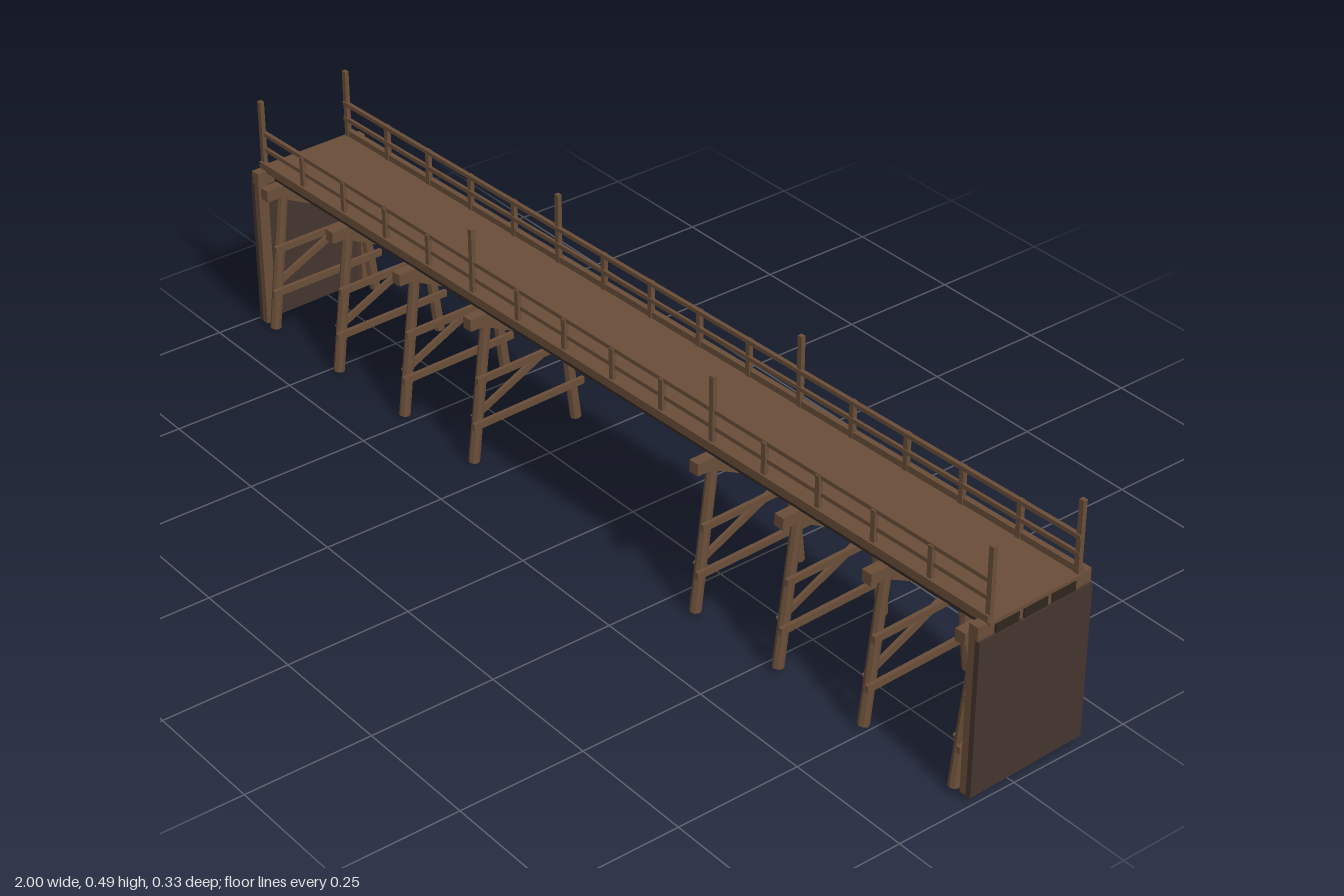
import * as THREE from 'three';

const wood = new THREE.MeshStandardMaterial({ color: 0x6a4e39, flatShading: true });
wood.name = 'brown timber';
const darkWood = new THREE.MeshStandardMaterial({ color: 0x44342d });
darkWood.name = 'dark planking';
const beamWood = new THREE.MeshStandardMaterial({ color: 0x30261f });
beamWood.name = 'dark stringer timber';

function box(parent, name, size, pos, mat = wood) {
  const m = new THREE.Mesh(new THREE.BoxGeometry(...size), mat);
  m.name = name;
  m.position.set(...pos);
  parent.add(m);
  return m;
}

// Align a mesh's y axis with the segment a-b
function place(mesh, a, b) {
  mesh.position.copy(a).add(b).multiplyScalar(0.5);
  mesh.quaternion.setFromUnitVectors(new THREE.Vector3(0, 1, 0), b.clone().sub(a).normalize());
}

function pile(parent, a, b, r) {
  const m = new THREE.Mesh(new THREE.CylinderGeometry(r * 0.95, r, a.distanceTo(b), 8), wood);
  m.name = 'pile';
  place(m, a, b);
  parent.add(m);
}

function brace(parent, a, b) {
  const m = new THREE.Mesh(new THREE.BoxGeometry(0.007, a.distanceTo(b), 0.014), wood);
  m.name = 'diagonalBrace';
  place(m, a, b);
  parent.add(m);
}

// Trestle frame: two leaning piles, cap, girts and zigzag bracing
function makeBent(x) {
  const g = new THREE.Group();
  g.name = 'trestleBent';
  g.position.x = x;
  const v = (px, y, z) => new THREE.Vector3(px, y, z);
  for (const s of [-1, 1]) pile(g, v(0, 0.006, s * 0.122), v(0, 0.3, s * 0.085), 0.011);
  box(g, 'cap', [0.022, 0.024, 0.256], [0, 0.305, 0]);
  box(g, 'upperGirt', [0.008, 0.014, 0.24], [0.013, 0.185, 0]);
  box(g, 'lowerGirt', [0.008, 0.014, 0.262], [0.013, 0.09, 0]);
  brace(g, v(-0.013, 0.09, 0.112), v(-0.013, 0.185, -0.1));
  brace(g, v(-0.013, 0.19, -0.1), v(-0.013, 0.288, 0.088));
  return g;
}

// End wall: planked face, upright posts and a cap beam
function makeAbutment(s) {
  const g = new THREE.Group();
  g.name = 'abutment';
  box(g, 'wallPlanking', [0.01, 0.308, 0.256], [s * 0.989, 0.162, 0], darkWood);
  for (const z of [-0.117, 0.117]) box(g, 'wallPost', [0.014, 0.308, 0.022], [s * 0.977, 0.162, z]);
  box(g, 'wallCap', [0.02, 0.028, 0.256], [s * 0.979, 0.329, 0]);
  return g;
}

// Railing for one edge: tall posts at every fifth bay, short posts between
function makeRailing(s) {
  const g = new THREE.Group();
  g.name = 'railing';
  for (let i = 0; i <= 15; i++) {
    const tall = i % 5 === 0;
    const top = tall ? 0.485 : 0.418;
    box(g, tall ? 'tallPost' : 'shortPost', [0.01, top - 0.335, 0.009],
      [-0.985 + i * 1.97 / 15, (top + 0.335) / 2, s * 0.1]);
  }
  box(g, 'topRail', [1.98, 0.008, 0.008], [0, 0.416, s * 0.097]);
  box(g, 'middleRail', [1.98, 0.008, 0.006], [0, 0.382, s * 0.097]);
  box(g, 'curb', [1.98, 0.017, 0.011], [0, 0.348, s * 0.103]);
  return g;
}

export function createModel() {
  const model = new THREE.Group();
  model.name = 'timberTrestleBridge';
  const bridge = new THREE.Group();
  bridge.name = 'bridge';
  // slight skew and slope of the whole span
  bridge.rotation.set(0, 0.032, 0.005, 'ZYX');
  model.add(bridge);

  // Deck and the stringers under it
  box(bridge, 'deck', [1.985, 0.007, 0.21], [0, 0.3405, 0]);
  for (const z of [-0.064, 0, 0.064]) {
    box(bridge, 'stringer', [1.984, 0.021, 0.053], [0, 0.327, z], beamWood);
  }

  for (const s of [-1, 1]) {
    bridge.add(makeRailing(s), makeAbutment(s));
    for (const x of [0.313, 0.527, 0.738, 0.951]) bridge.add(makeBent(s * x));
  }
  return model;
}
